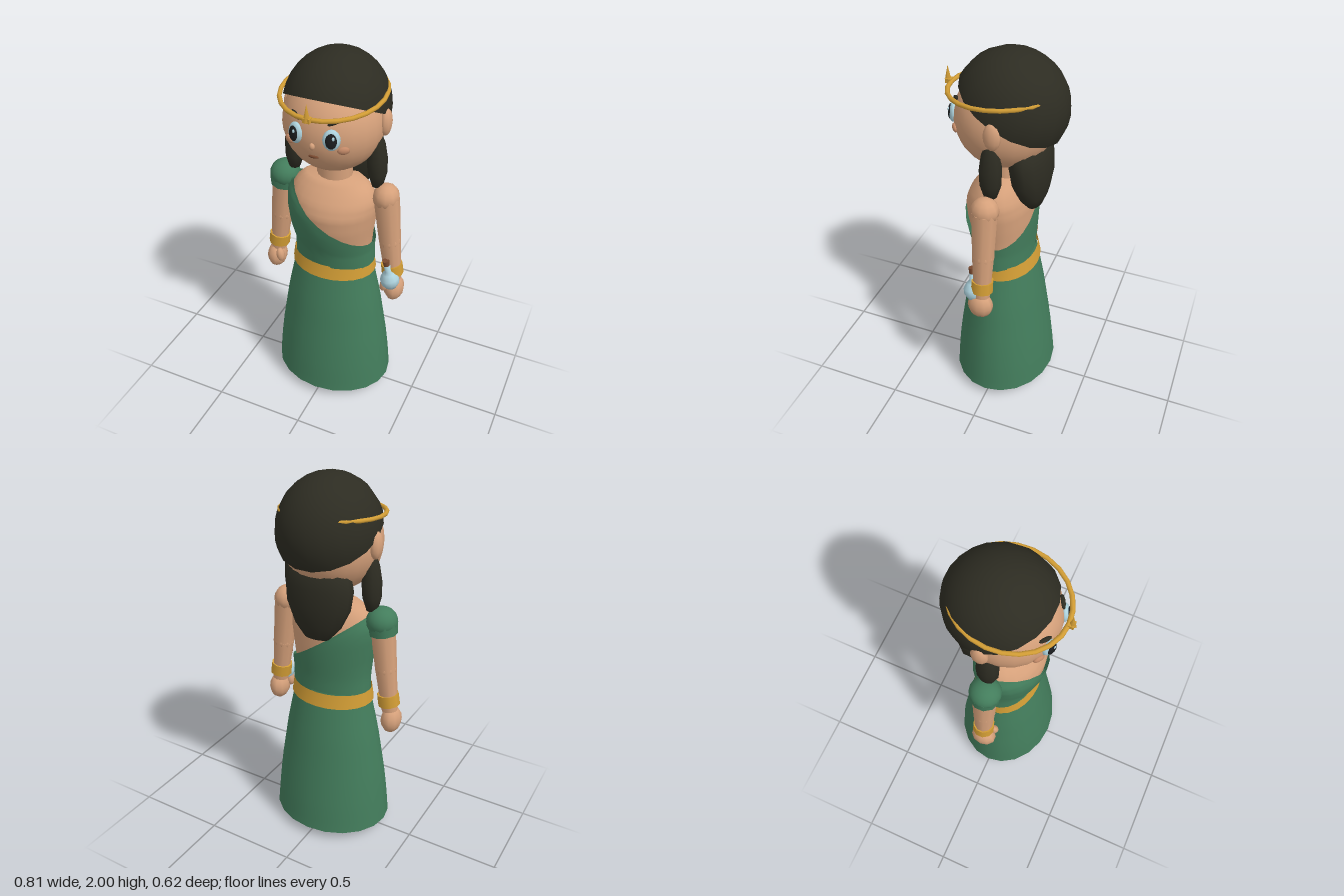
import * as THREE from 'three';

const paint = (name, color) => {
  const m = new THREE.MeshStandardMaterial({ color });
  m.name = name;
  return m;
};

export function createModel() {
  const root = new THREE.Group();
  root.name = 'robedWoman';
  const skin = paint('skin', 0xd6a17b), blush = paint('blush', 0xc48a68), green = paint('green cloth', 0x437d5c);
  const hair = paint('dark hair', 0x2d2c22), gold = paint('gold', 0xd29d35), pale = paint('pale blue', 0xaed3de);
  const brown = paint('brown leather', 0x7a4a30), pupilMat = paint('pupil', 0x1b1d1f);
  green.side = hair.side = gold.side = THREE.DoubleSide;

  const add = (name, geo, mat, pos = [0, 0, 0], scale = [1, 1, 1], rot = [0, 0, 0]) => {
    const m = new THREE.Mesh(geo, mat);
    m.name = name;
    m.position.set(...pos);
    m.scale.set(...scale);
    m.rotation.set(...rot);
    root.add(m);
    return m;
  };
  const ball = new THREE.SphereGeometry(1, 16, 12);
  const smallBall = new THREE.SphereGeometry(1, 10, 8);

  // Tapered limb between two points
  const limb = (name, mat, a, b, ra, rb) => {
    const p = new THREE.Vector3(...a), q = new THREE.Vector3(...b);
    const d = q.clone().sub(p);
    const m = add(name, new THREE.CylinderGeometry(rb, ra, d.length(), 10), mat);
    m.position.copy(p).lerp(q, 0.5);
    m.quaternion.setFromUnitVectors(new THREE.Vector3(0, 1, 0), d.normalize());
    return m;
  };

  // Oval cross-section at height y, from rows of [y, half width, front z, back z]
  const sectionAt = (rows, y) => {
    let i = 0;
    while (i < rows.length - 2 && y > rows[i + 1][0]) i++;
    const a = rows[i], b = rows[i + 1];
    const t = THREE.MathUtils.clamp((y - a[0]) / (b[0] - a[0]), 0, 1);
    return a.map((v, k) => v + (b[k] - v) * t);
  };
  // Skin over the sections between two heights, which may vary with the angle
  const shell = (rows, low, high, off = 0, seg = 24, steps = 14) => {
    const pos = [], idx = [];
    for (let j = 0; j <= steps; j++) {
      for (let i = 0; i < seg; i++) {
        const t = (i / seg) * Math.PI * 2, c = Math.cos(t), s = Math.sin(t);
        const y0 = low(t), y = y0 + (high(t) - y0) * j / steps;
        const [, w, zf, zb] = sectionAt(rows, y);
        pos.push((w + off) * c, y, ((s > 0 ? zf : zb) + off) * s);
        if (j < steps) {
          const n = (i + 1) % seg, a = j * seg + i, b = j * seg + n;
          idx.push(a, a + seg, b, b, a + seg, b + seg);
        }
      }
    }
    const g = new THREE.BufferGeometry();
    g.setAttribute('position', new THREE.Float32BufferAttribute(pos, 3));
    g.setIndex(idx);
    g.computeVertexNormals();
    return g;
  };

  // Torso
  const body = [
    [0.84, 0.21, 0.14, 0.145], [0.95, 0.207, 0.155, 0.142], [1.03, 0.213, 0.178, 0.147],
    [1.1, 0.222, 0.193, 0.15], [1.19, 0.233, 0.198, 0.15], [1.25, 0.232, 0.175, 0.14],
    [1.3, 0.21, 0.138, 0.12], [1.34, 0.17, 0.1, 0.1], [1.365, 0.125, 0.075, 0.08], [1.372, 0.01, 0.01, 0.01],
  ];
  add('torso', shell(body, () => 0.84, () => 1.372, 0, 24, 26), skin);
  add('neck', new THREE.CylinderGeometry(0.088, 0.093, 0.13, 16), skin, [0, 1.41, -0.005], [1, 1, 0.85]);

  // Slanted bodice and sash over one shoulder
  const slant = (t, base) => {
    let y = 1.15;
    for (let k = 0; k < 30; k++) y = base - 0.75 * sectionAt(body, y)[1] * Math.cos(t);
    return y;
  };
  const top = t => slant(t, 1.15);
  add('bodice', shell(body, () => 0.85, top, 0.008), green);
  add('sash', shell(body, t => Math.min(Math.max(0.86, slant(t, 0.905)), top(t) - 0.02), top, 0.017), green);

  // Skirt and belt
  const skirt = [
    [0.05, 0.335, 0.275, 0.285], [0.2, 0.322, 0.262, 0.27], [0.34, 0.305, 0.244, 0.25],
    [0.6, 0.264, 0.204, 0.21], [0.8, 0.222, 0.165, 0.172], [0.88, 0.212, 0.147, 0.154],
  ];
  add('skirt', shell(skirt, () => 0.05, () => 0.875, 0, 20), green);
  add('belt', shell(skirt, () => 0.8, () => 0.875, 0.011, 24, 2), gold);

  // Head and hair
  const headY = 1.66, headR = 0.25;
  add('head', new THREE.SphereGeometry(headR, 24, 18), skin, [0, headY, 0]);
  add('hairCap', new THREE.SphereGeometry(0.28, 18, 8, 0, Math.PI * 2, 0, Math.PI / 2), hair,
    [0, 1.72, -0.03], [0.93, 1, 1], [-0.49, 0, 0]);
  const backLock = [[0, -0.205], [0.07, -0.19], [0.13, -0.12], [0.175, -0.02], [0.185, 0.08], [0.165, 0.16], [0.1, 0.2], [0, 0.205]]
    .map(p => new THREE.Vector2(...p));
  add('backHair', new THREE.LatheGeometry(backLock, 14), hair, [0, 1.385, -0.14], [1, 1, 0.55], [0.1, 0, 0]);
  const sideLock = [[0, -0.155], [0.03, -0.15], [0.05, -0.08], [0.053, 0], [0.042, 0.08], [0.022, 0.14], [0, 0.155]]
    .map(p => new THREE.Vector2(...p));

  // Circlet with a spike in front
  add('circlet', new THREE.TorusGeometry(0.25, 0.011, 8, 24), gold, [0, 1.81, 0.005], [1, 1.1, 1], [Math.PI / 2 + 0.09, 0, 0]);
  add('circletSpike', new THREE.ConeGeometry(0.019, 0.085, 4), gold, [0, 1.825, 0.295]);
  add('circletJewel', new THREE.BoxGeometry(0.034, 0.022, 0.03), gold, [0, 1.79, 0.29]);

  // Facial feature seated on the head, facing outward
  const onFace = (name, mat, x, y, size, lift = 0, roll = 0) => {
    const z = Math.sqrt(headR ** 2 - x * x - (y - headY) ** 2);
    const dir = new THREE.Vector3(x, y - headY, z).normalize();
    const m = add(name, smallBall, mat, [0, 0, 0], size);
    m.position.set(0, headY, 0).addScaledVector(dir, headR + lift);
    m.lookAt(m.position.clone().add(dir));
    m.rotateZ(roll);
  };
  onFace('nose', skin, 0, 1.635, [0.014, 0.018, 0.014]);
  onFace('mouth', brown, 0, 1.575, [0.027, 0.008, 0.008]);

  for (const [side, s] of [['left', 1], ['right', -1]]) {
    onFace(side + 'Eye', pale, s * 0.09, 1.68, [0.042, 0.052, 0.022]);
    onFace(side + 'Pupil', pupilMat, s * 0.089, 1.68, [0.027, 0.038, 0.01], 0.016);
    onFace(side + 'EyeGlint', pale, s * 0.089 + 0.008, 1.694, [0.007, 0.009, 0.004], 0.024);
    onFace(side + 'Brow', hair, s * 0.095, 1.758, [0.035, 0.01, 0.012], 0.004, s * 0.35);
    onFace(side + 'Cheek', blush, s * 0.138, 1.623, [0.03, 0.021, 0.014]);
    add(side + 'Ear', smallBall, skin, [s * 0.25, 1.682, -0.028], [0.03, 0.07, 0.043]);
    add(side + 'HairLock', new THREE.LatheGeometry(sideLock, 10), hair, [s * 0.222, 1.49, -0.008], [0.95, 1, 1.1], [0, 0, s * 0.04]);

    // Arm, bracelet and hand
    add(side + 'Shoulder', smallBall, skin, [s * 0.28, 1.288, 0], [0.068, 0.072, 0.072]);
    limb(side + 'UpperArm', skin, [s * 0.283, 1.28, 0], [s * 0.312, 1.03, 0], 0.066, 0.057);
    add(side + 'Elbow', smallBall, skin, [s * 0.312, 1.03, 0], [0.057, 0.057, 0.057]);
    limb(side + 'Forearm', skin, [s * 0.312, 1.03, 0], [s * 0.342, 0.79, 0], 0.057, 0.043);
    limb(side + 'Bracelet', gold, [s * 0.329, 0.885, 0], [s * 0.338, 0.823, 0], 0.057, 0.058);
    add(side + 'Hand', smallBall, skin, [s * 0.352, 0.732, 0.005], [0.053, 0.075, 0.068]);
    add(side + 'Thumb', smallBall, skin, [s * 0.31, 0.765, 0.048], [0.023, 0.042, 0.025], [0, 0, s * -0.15]);

    // Leg and sandal
    limb(side + 'Leg', skin, [s * 0.112, 0.05, -0.01], [s * 0.112, 0.5, 0], 0.045, 0.065);
    add(side + 'Foot', smallBall, skin, [s * 0.112, 0.045, 0.055], [0.056, 0.036, 0.115]);
    add(side + 'Sole', new THREE.CylinderGeometry(0.066, 0.066, 0.022, 16), brown, [s * 0.112, 0.011, 0.057], [1, 1, 1.93]);
    add(side + 'ToeStrap', new THREE.TorusGeometry(0.052, 0.009, 6, 14), brown, [s * 0.112, 0.035, 0.09], [1.05, 0.6, 1.6]);
    add(side + 'AnkleStrap', new THREE.TorusGeometry(0.05, 0.009, 6, 14), brown, [s * 0.112, 0.12, -0.008], [1, 1, 1], [Math.PI / 2, 0, 0]);
  }

  // Cap sleeve on the draped shoulder
  add('sleeve', ball, green, [-0.28, 1.288, 0], [0.08, 0.074, 0.082]);
  limb('sleeveHem', green, [-0.282, 1.285, 0], [-0.29, 1.222, 0], 0.079, 0.073);

  // Vial held in the left hand
  const flask = [[0, -0.055], [0.03, -0.048], [0.05, -0.015], [0.05, 0.015], [0.032, 0.045], [0.017, 0.06], [0.017, 0.1], [0, 0.1]]
    .map(p => new THREE.Vector2(...p));
  add('vial', new THREE.LatheGeometry(flask, 12), pale, [0.34, 0.81, 0.047], [1, 1, 1], [0.1, 0, 0.17]);
  add('vialStopper', new THREE.CylinderGeometry(0.019, 0.016, 0.036, 10), brown, [0.32, 0.922, 0.059], [1, 1, 1], [0.1, 0, 0.17]);

  return root;
}
